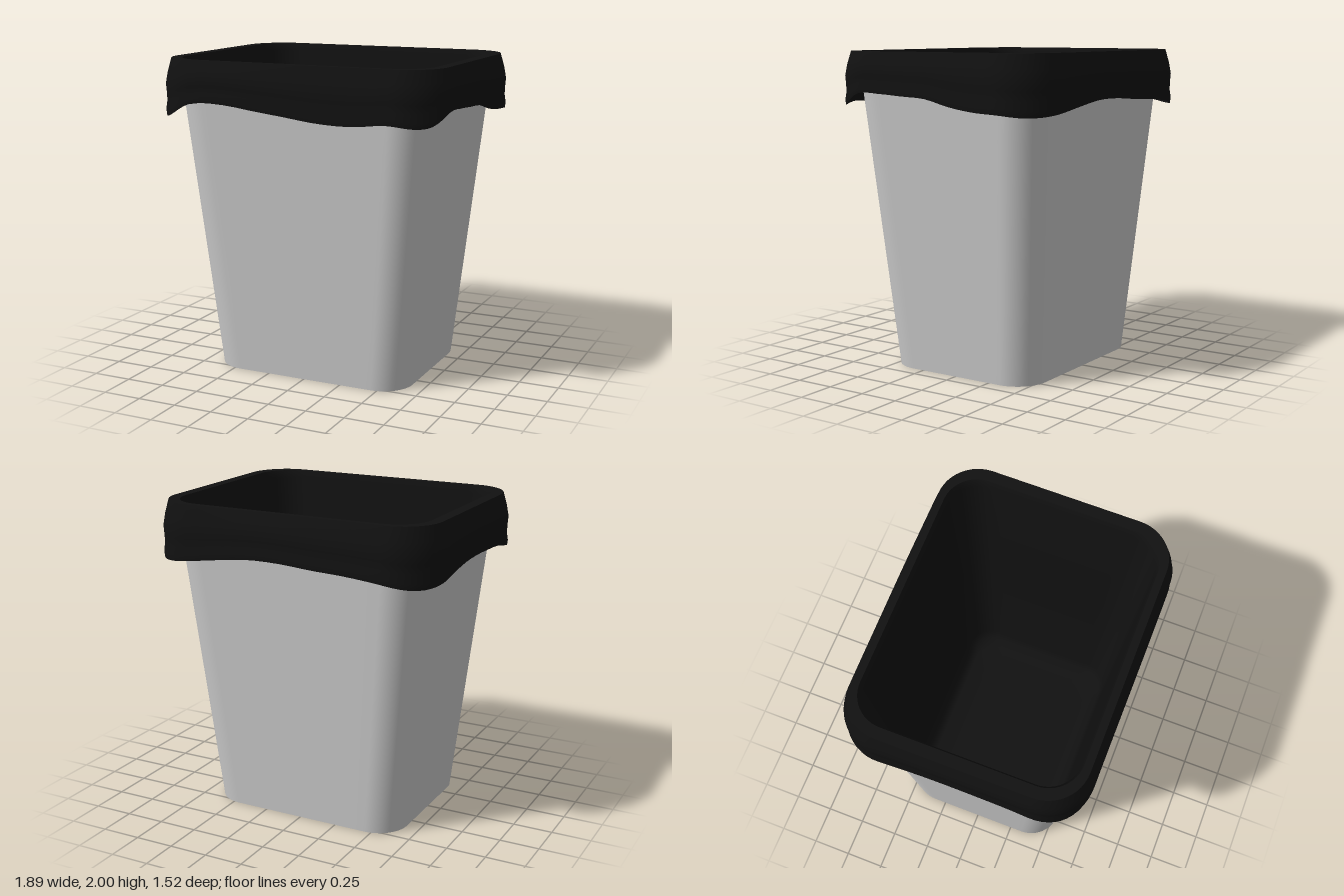
import * as THREE from 'three';

const CORNER = 6, STRAIGHT = 16; // steps per half corner and per straight side

// Rounded rectangle, anticlockwise from above, starting at the front corner on -x.
// yAt is a height or a function of (side, u), with u running 0..1 along each side.
function ring(hw, hd, r, yAt) {
  const pts = [];
  for (let k = 0; k < 4; k++) {
    const L = k % 2 ? hd : hw, H = k % 2 ? hw : hd;
    const a45 = Math.PI / 4, end = L - r + r * Math.sin(a45);
    const local = [];
    for (let i = 0; i < CORNER; i++) {
      const a = -a45 * (1 - i / CORNER);
      local.push([-(L - r) + r * Math.sin(a), H - r + r * Math.cos(a)]);
    }
    for (let i = 0; i <= STRAIGHT; i++) local.push([(L - r) * (2 * i / STRAIGHT - 1), H]);
    for (let i = 1; i < CORNER; i++) {
      const a = a45 * i / CORNER;
      local.push([L - r + r * Math.sin(a), H - r + r * Math.cos(a)]);
    }
    const c = [1, 0, -1, 0][k], s = [0, 1, 0, -1][k];
    for (const [t, h] of local) {
      const y = typeof yAt === 'function' ? yAt(k, (t / end + 1) / 2) : yAt;
      pts.push([t * c + h * s, y, h * c - t * s]);
    }
  }
  return pts;
}

// Skin a list of rings
function loft(rings) {
  const n = rings[0].length, idx = [];
  for (let j = 0; j < rings.length - 1; j++) {
    for (let i = 0; i < n; i++) {
      const a = j * n + i, b = j * n + (i + 1) % n;
      idx.push(a, b, b + n, a, b + n, a + n);
    }
  }
  const g = new THREE.BufferGeometry();
  g.setAttribute('position', new THREE.Float32BufferAttribute(rings.flat(2), 3));
  g.setIndex(idx);
  g.computeVertexNormals();
  return g;
}

// Drooping hem heights: front, +x side, back, -x side
const HEM = [
  1.645, 1.74, 1.745, 1.72, 1.695, 1.67, 1.665, 1.685,
  1.67, 1.75, 1.75, 1.74, 1.73, 1.69, 1.665, 1.655,
  1.64, 1.66, 1.69, 1.715, 1.715, 1.70, 1.69, 1.67,
  1.64, 1.66, 1.69, 1.71, 1.715, 1.71, 1.70, 1.67,
];

function hemHeight(side, u) {
  const p = (side + u) * 8, i = Math.floor(p), f = p - i;
  const at = (k) => HEM[(k + HEM.length) % HEM.length];
  const [a, b, c, d] = [at(i - 1), at(i), at(i + 1), at(i + 2)];
  return b + 0.5 * f * (c - a + f * (2 * a - 5 * b + 4 * c - d + f * (3 * (b - c) + d - a)));
}

export function createModel() {
  const group = new THREE.Group();
  const grey = new THREE.MeshStandardMaterial({ color: 0xcccccc, side: THREE.DoubleSide });
  const black = new THREE.MeshStandardMaterial({ color: 0x111111, side: THREE.DoubleSide });
  const add = (name, rings, mat) => {
    const mesh = new THREE.Mesh(loft(rings), mat);
    mesh.name = name;
    group.add(mesh);
  };

  // Tapered bin with a slightly recessed base
  const wall = (y, inset = 0) =>
    ring(0.66 + 0.1 * y - inset, 0.53 + 0.08 * y - inset, 0.2 + 0.01 * y - inset * 0.8, y);
  add('binWall', [0, 0.5, 1, 1.5, 1.97].map((y) => wall(y)), grey);
  add('binRim', [wall(1.97), wall(1.97, 0.02)], grey);
  add('binInnerWall', [wall(1.97, 0.02), wall(1, 0.02), wall(0.04, 0.02)], grey);
  add('binFootEdge', [wall(0, 0.025), wall(0)], grey);
  add('binFootInside', [wall(0.025, 0.025), wall(0, 0.025)], grey);
  add('binBase', [ring(0.001, 0.001, 0.0003, 0.025), wall(0.025, 0.025)], grey);

  // Folded-over skirt of the liner: [fraction from hem to top, outward offset]
  const skirt = [[0, 0.038], [0.1, 0.042], [0.25, 0.034], [0.4, 0.036], [0.55, 0.04], [0.75, 0.027], [1, 0.002]];
  add('linerSkirt', skirt.map(([t, o]) => ring(0.905 + o, 0.72 + o, 0.25 + o,
    (k, u) => THREE.MathUtils.lerp(hemHeight(k, u), 2, t))), black);

  // Flat fold over the bin rim
  add('linerRim', [ring(0.907, 0.722, 0.252, 2), ring(0.835, 0.675, 0.21, 2)], black);

  // Liner inside the bin: [half width, half depth, radius, height]
  const inside = [
    [0.835, 0.675, 0.21, 2], [0.815, 0.66, 0.2, 1.95], [0.73, 0.59, 0.19, 1.05], [0.645, 0.52, 0.18, 0.17],
    [0.62, 0.495, 0.17, 0.1], [0.57, 0.45, 0.15, 0.06], [0.4, 0.3, 0.1, 0.055], [0.001, 0.001, 0.0003, 0.055],
  ];
  add('linerInside', inside.map((p) => ring(...p)), black);

  return group;
}
